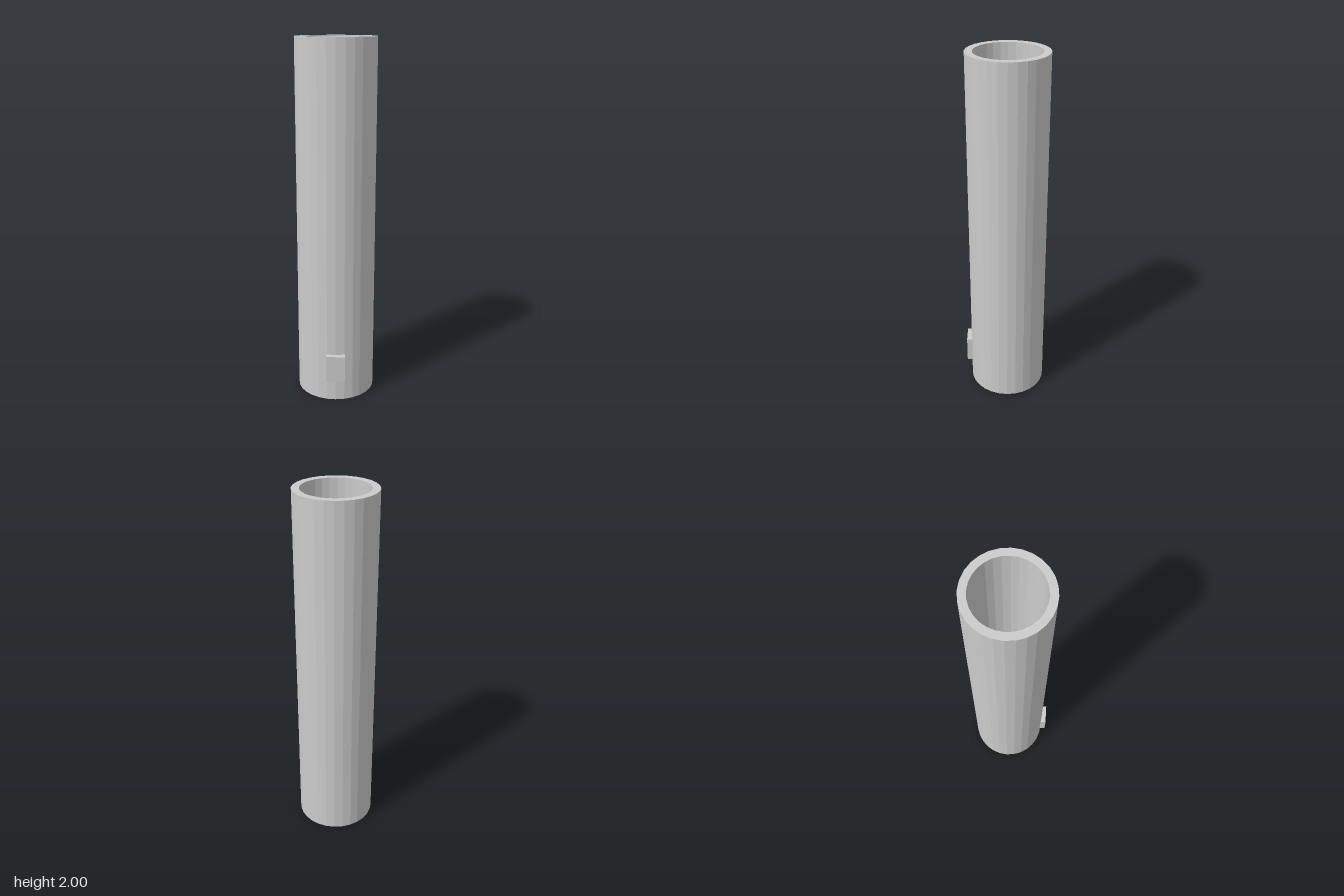
import * as THREE from 'three';

export function createModel() {
  const model = new THREE.Group();
  const material = new THREE.MeshStandardMaterial({ color: 0xcccccc, flatShading: true });
  const outer = 0.219, inner = 0.179, height = 2, floor = 0.04;

  // Hollow tube, open at the top with a closed floor
  const profile = [
    [0, 0], [outer, 0], [outer, height], [inner, height], [inner, floor], [0, floor],
  ].map(([r, y]) => new THREE.Vector2(r, y));
  const tube = new THREE.Mesh(new THREE.LatheGeometry(profile, 28), material);
  tube.name = 'tube';
  tube.scale.z = 0.99;
  tube.position.z = -0.0135;
  model.add(tube);

  // Small block set through the front wall near the base
  const block = new THREE.Mesh(new THREE.BoxGeometry(0.106, 0.15, 0.124), material);
  block.name = 'frontBlock';
  block.position.set(0, 0.205, 0.167);
  model.add(block);

  return model;
}
